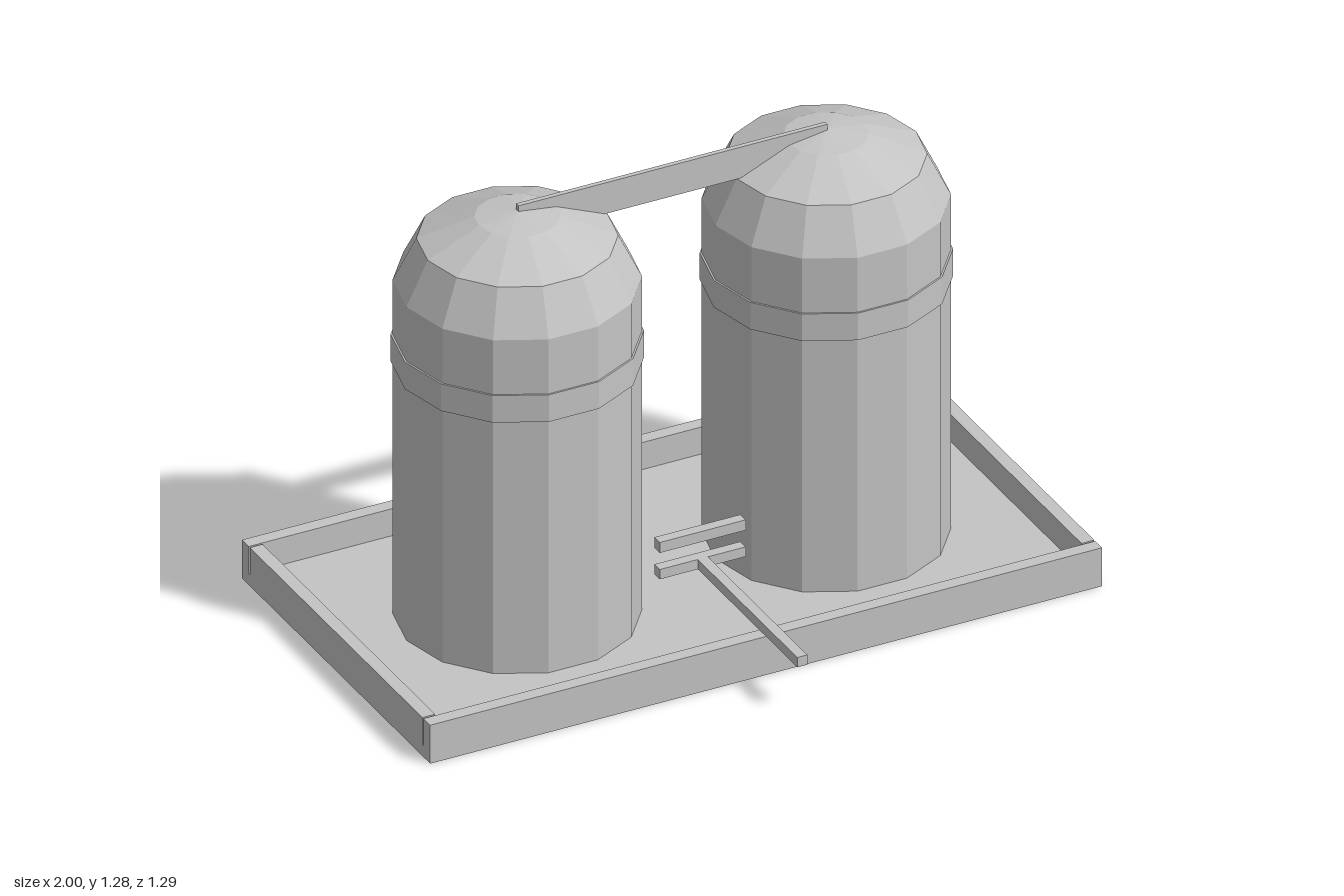
import * as THREE from 'three';

const SIDES = 14;

export function createModel() {
  const model = new THREE.Group();
  const grey = new THREE.MeshStandardMaterial({ color: 0xc4c4c4 });
  grey.name = 'plain grey';

  function add(name, geometry, parent = model) {
    const mesh = new THREE.Mesh(geometry, grey);
    mesh.name = name;
    parent.add(mesh);
    return mesh;
  }

  // Box given by its extents along each axis
  function box(name, [x0, x1], [y0, y1], [z0, z1]) {
    const mesh = add(name, new THREE.BoxGeometry(x1 - x0, y1 - y0, z1 - z0));
    mesh.position.set((x0 + x1) / 2, (y0 + y1) / 2, (z0 + z1) / 2);
  }

  // Faceted turned shape with corners on the x axis
  function turned(profile) {
    const points = profile.map(([r, y]) => new THREE.Vector2(r, y));
    const geometry = new THREE.LatheGeometry(points, SIDES, Math.PI / 2).toNonIndexed();
    geometry.computeVertexNormals();
    return geometry;
  }

  // Containment tray: floor slab, long walls, and end walls with narrow corner gaps
  box('trayFloor', [-1, 1], [0, 0.035], [-0.645, 0.437]);
  box('frontWall', [-1, 1], [0.035, 0.118], [0.398, 0.437]);
  box('backWall', [-1, 1], [0.035, 0.118], [-0.645, -0.606]);
  box('rightWall', [-1, -0.962], [0.035, 0.118], [-0.6, 0.392]);
  box('leftWall', [0.962, 1], [0.035, 0.118], [-0.6, 0.392]);

  // Two domed tanks, each with a slim band
  for (const [name, x] of [['rightTank', -0.46], ['leftTank', 0.46]]) {
    const tank = new THREE.Group();
    tank.name = name;
    tank.position.set(x, 0, -0.105);
    add('tankBody', turned([
      [0, 0.036], [0.33, 0.036], [0.33, 1.06], [0.267, 1.187], [0.114, 1.252], [0, 1.268],
    ]), tank);
    add('tankBand', turned([
      [0.329, 0.81], [0.335, 0.81], [0.335, 0.893], [0.329, 0.893],
    ]), tank);
    model.add(tank);
  }

  // Bridge plate joining the tank tops
  box('topBridge', [-0.46, 0.46], [1.19, 1.285], [-0.112, -0.098]);

  // Pipework between the tanks and the outlet to the front
  box('upperPipe', [-0.128, 0.128], [0.218, 0.25], [0.042, 0.073]);
  box('lowerPipe', [-0.128, 0.128], [0.137, 0.167], [0.042, 0.073]);
  box('outletPipe', [-0.015, 0.015], [0.137, 0.167], [0.073, 0.645]);

  return model;
}
